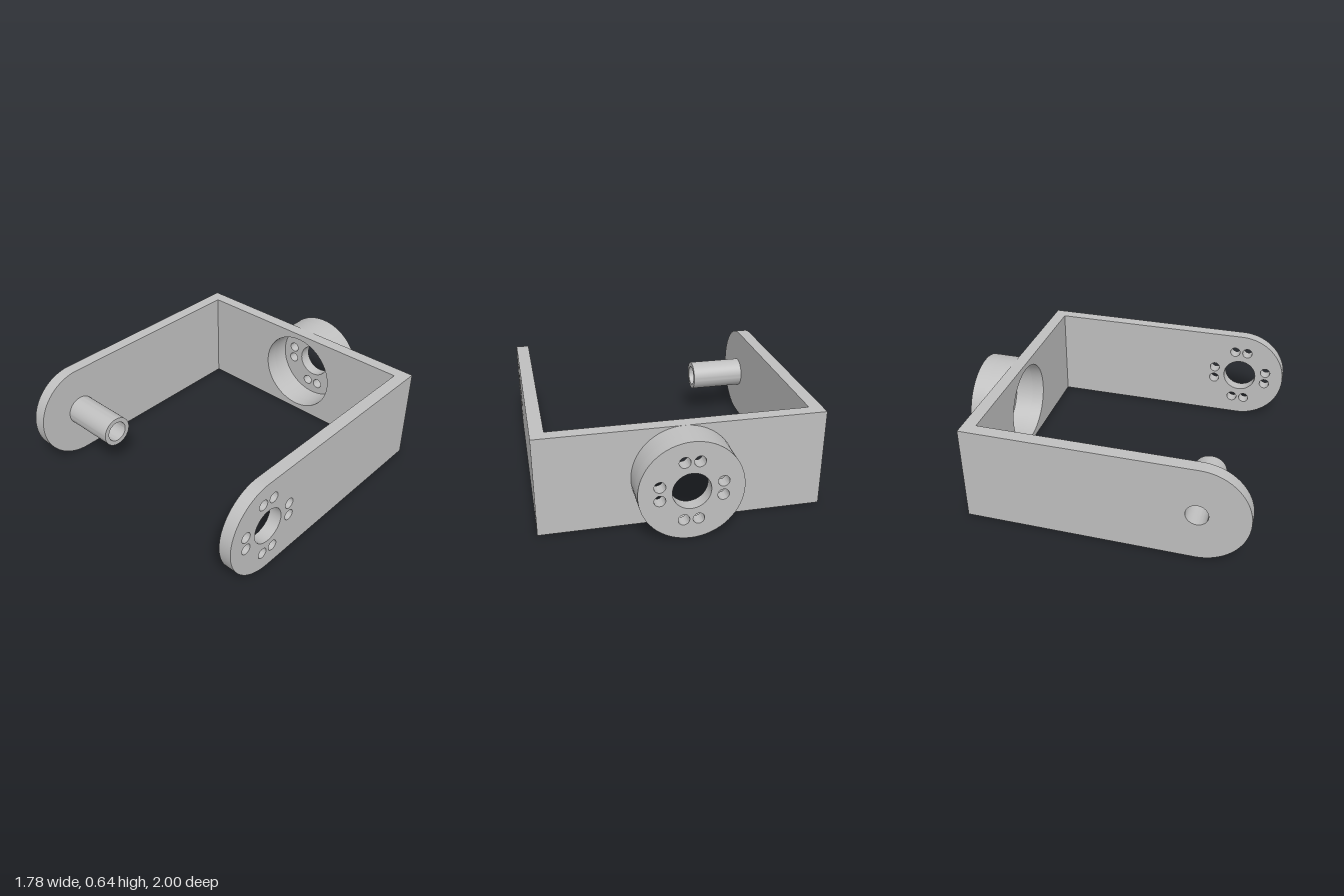
import * as THREE from 'three';
import { toCreasedNormals } from 'three/addons/utils/BufferGeometryUtils.js';

const H = 0.64, MID = H / 2, T = 0.085;   // bracket height, mid height, sheet thickness
const HALF = 0.89, BACK = -0.79;          // half width, rear face of the bracket
const PIVOT = 0.68;                       // z of the pivot axis in the arms
const BORE = 0.117, PEG_R = 0.102, PEG_BORE = 0.07;

const grey = new THREE.MeshStandardMaterial({ color: 0xbfbfbf });
grey.name = 'grey metal';

function circle(Type, x, y, r) {
  const c = new Type();
  c.absarc(x, y, r, 0, Math.PI * 2, false);
  return c;
}
const hole = (shape, x, y, r) => shape.holes.push(circle(THREE.Path, x, y, r));

// Central bore with four pairs of screw holes around it
function servoHoles(shape, x, y) {
  hole(shape, x, y, BORE);
  for (const a of [-1, 1]) for (const b of [-1, 1]) {
    hole(shape, x + a * 0.19, y + b * 0.045, 0.035);
    hole(shape, x + a * 0.045, y + b * 0.19, 0.035);
  }
}

function extrude(shape, depth) {
  const g = new THREE.ExtrudeGeometry(shape, { depth, bevelEnabled: false, curveSegments: 32 });
  return toCreasedNormals(g, 0.5);
}

function addPart(group, name, geometry, x, y, z) {
  const mesh = new THREE.Mesh(geometry, grey);
  mesh.name = name;
  mesh.position.set(x, y, z);
  group.add(mesh);
}

// Arm outline drawn in (-z, y), with a rounded front end
function armShape() {
  const s = new THREE.Shape();
  s.moveTo(-BACK, 0);
  s.lineTo(-BACK, H);
  s.lineTo(-PIVOT, H);
  s.absarc(-PIVOT, MID, MID, Math.PI / 2, Math.PI * 1.5, false);
  s.closePath();
  return s;
}

export function createModel() {
  const model = new THREE.Group();
  model.name = 'pivotBracket';

  // Side arms: screw pattern on the left, plain bore behind the peg on the right
  const left = armShape();
  servoHoles(left, -PIVOT, MID);
  addPart(model, 'leftArm', extrude(left, T).rotateY(Math.PI / 2), HALF - T, 0, 0);

  const right = armShape();
  hole(right, -PIVOT, MID, PEG_BORE);
  addPart(model, 'rightArm', extrude(right, T).rotateY(Math.PI / 2), -HALF, 0, 0);

  // Hollow pivot peg pointing inwards from the right arm
  const peg = circle(THREE.Shape, 0, 0, PEG_R);
  hole(peg, 0, 0, PEG_BORE);
  addPart(model, 'pivotPeg', extrude(peg, 0.375).rotateY(Math.PI / 2), -HALF + T, MID, PIVOT);

  // Back plate, open to the hub recess
  const w = HALF - T;
  const plate = new THREE.Shape();
  plate.moveTo(-w, 0);
  plate.lineTo(w, 0);
  plate.lineTo(w, H);
  plate.lineTo(-w, H);
  plate.closePath();
  hole(plate, 0, MID, 0.28);
  addPart(model, 'backPlate', extrude(plate, T), 0, 0, BACK);

  // Rear hub: cup wall and drilled floor
  const rim = circle(THREE.Shape, 0, 0, MID);
  hole(rim, 0, 0, 0.28);
  addPart(model, 'hubRim', extrude(rim, 1 + BACK - T), 0, MID, -1 + T);

  const floor = circle(THREE.Shape, 0, 0, MID);
  servoHoles(floor, 0, 0);
  addPart(model, 'hubFloor', extrude(floor, T), 0, MID, -1);

  return model;
}
